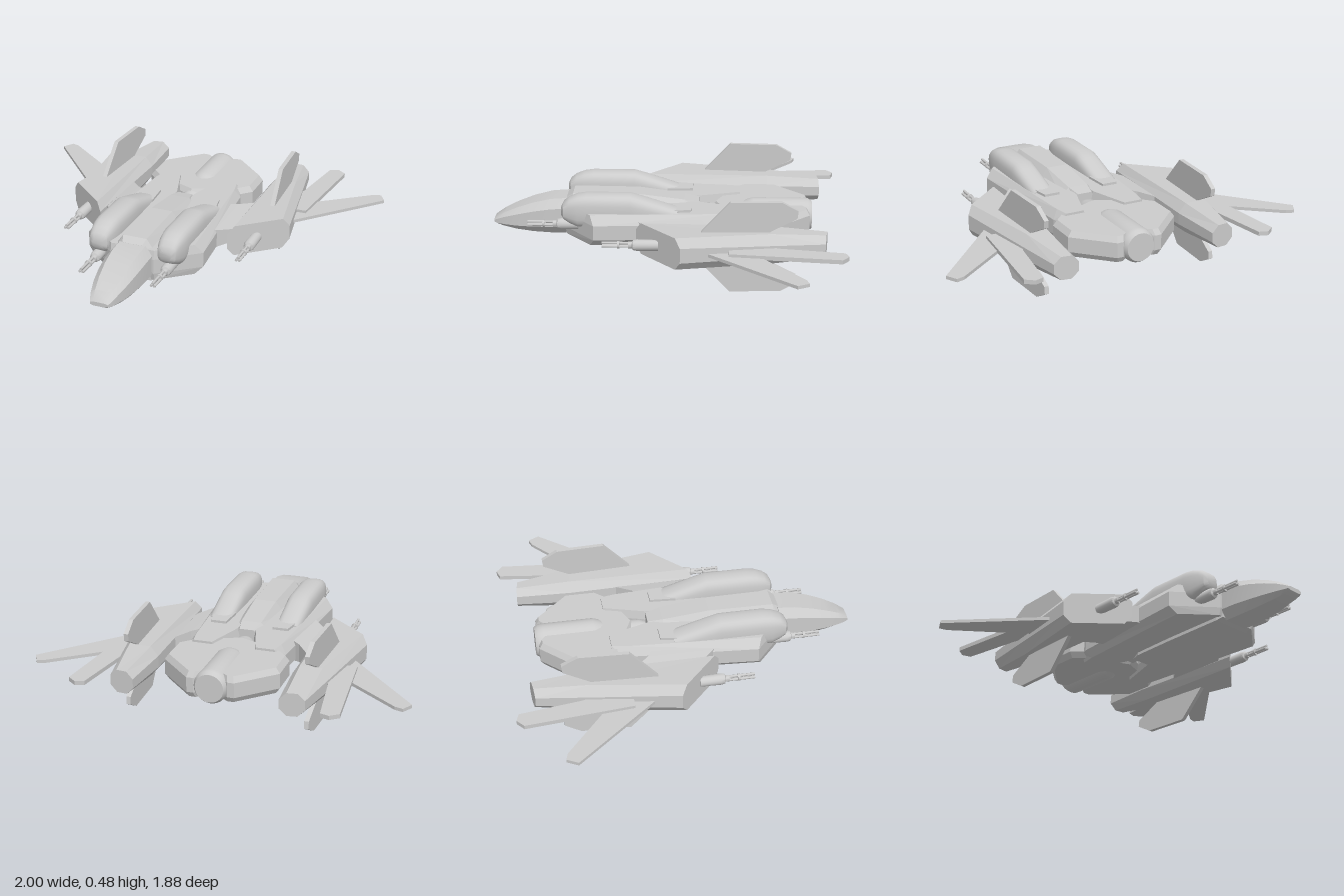
import * as THREE from 'three';
import { toCreasedNormals } from 'three/addons/utils/BufferGeometryUtils.js';

const material = new THREE.MeshStandardMaterial({ color: 0xcccccc });

// Skin a series of convex rings ([x, y, z] points) and close both ends; always faces outward.
function loft(rings, crease = 0) {
  const tris = [], n = rings[0].length;
  for (let i = 0; i < rings.length - 1; i++) {
    for (let j = 0; j < n; j++) {
      const k = (j + 1) % n, a = rings[i], b = rings[i + 1];
      tris.push([a[j], a[k], b[k]], [a[j], b[k], b[j]]);
    }
  }
  const first = rings[0], last = rings[rings.length - 1];
  for (let j = 1; j < n - 1; j++) {
    tris.push([first[0], first[j + 1], first[j]], [last[0], last[j], last[j + 1]]);
  }
  let volume = 0;
  for (const [a, b, c] of tris) {
    volume += a[0] * (b[1] * c[2] - b[2] * c[1]) + a[1] * (b[2] * c[0] - b[0] * c[2]) + a[2] * (b[0] * c[1] - b[1] * c[0]);
  }
  const pos = tris.flatMap(([a, b, c]) => (volume < 0 ? [...a, ...c, ...b] : [...a, ...b, ...c]));
  const geo = new THREE.BufferGeometry();
  geo.setAttribute('position', new THREE.Float32BufferAttribute(pos, 3));
  geo.computeVertexNormals();
  return crease ? toCreasedNormals(geo, crease) : geo;
}

const mirror = (rings, s) => rings.map(r => r.map(([x, y, z]) => [x * s, y, z]));

function add(parent, name, geo) {
  const mesh = new THREE.Mesh(geo, material);
  mesh.name = name;
  parent.add(mesh);
  return mesh;
}

// Plan outline ([x, z]) placed at height y
const plan = (outline, y) => outline.map(([x, z]) => [x, y, z]);

// Eight-sided section between xa and xb, bevelled by b and h; the ends may be raked
function octagon(xa, xb, y0, y1, b, h, za, zb = za) {
  const pts = [[xa, y0 + h], [xa, y1 - h], [xa + b, y1], [xb - b, y1],
    [xb, y1 - h], [xb, y0 + h], [xb - b, y0], [xa + b, y0]];
  return pts.map(([x, y]) => [x, y, za + (zb - za) * (x - xa) / (xb - xa)]);
}

// Rounded-rectangle section
function rounded(cx, w, y0, y1, z, count = 24) {
  return Array.from({ length: count }, (_, i) => {
    const a = (i / count) * Math.PI * 2, c = Math.cos(a), s = Math.sin(a);
    const p = v => Math.sign(v) * Math.abs(v) ** 0.65;
    return [cx + w * p(c), (y0 + y1) / 2 + (y1 - y0) / 2 * p(s), z];
  });
}

// Gun: housing turned around z, three barrels and a clamp ring
function gun(name, x, z) {
  const g = new THREE.Group();
  g.name = name;
  const profile = [[0, -0.13], [0.028, -0.13], [0.03, -0.02], [0.026, 0], [0.017, 0.005], [0.017, 0.025], [0, 0.025]]
    .map(p => new THREE.Vector2(...p));
  add(g, 'gunHousing', toCreasedNormals(new THREE.LatheGeometry(profile, 16).rotateX(Math.PI / 2), 0.6));
  for (let i = 0; i < 3; i++) {
    const a = Math.PI / 2 + i * Math.PI * 2 / 3;
    add(g, 'gunBarrel', new THREE.CylinderGeometry(0.007, 0.007, 0.16, 8).rotateX(Math.PI / 2))
      .position.set(Math.cos(a) * 0.01, Math.sin(a) * 0.01, 0.08);
  }
  add(g, 'barrelRing', new THREE.CylinderGeometry(0.019, 0.019, 0.012, 12).rotateX(Math.PI / 2)).position.z = 0.075;
  g.position.set(x, 0.25, z);
  return g;
}

export function createModel() {
  const model = new THREE.Group();
  model.name = 'spacecraft';

  // Nose: half width, bottom, top, z
  const nose = [[0.11, 0.15, 0.35, 0.53], [0.11, 0.15, 0.343, 0.62], [0.102, 0.154, 0.318, 0.72],
    [0.088, 0.163, 0.285, 0.81], [0.07, 0.175, 0.252, 0.88], [0.056, 0.185, 0.227, 0.92], [0.048, 0.193, 0.215, 0.935]]
    .map(([w, y0, y1, z]) => octagon(-w, w, y0, y1, w * 0.35, (y1 - y0) * 0.24, z));
  add(model, 'nose', loft(nose, 0.55));

  // Central spine: half width, flat half width, belly, shoulder, top, z
  const spine = [[0.1, 0.055, 0.16, 0.30, 0.35, 0.535], [0.112, 0.065, 0.148, 0.31, 0.375, 0.5],
    [0.11, 0.06, 0.148, 0.31, 0.375, 0.15], [0.1, 0.055, 0.15, 0.3, 0.345, -0.1], [0.06, 0.04, 0.165, 0.29, 0.33, -0.18]]
    .map(([w, f, y0, ys, y1, z]) => [[-w, y0, z], [-w, ys, z], [-f, y1, z], [f, y1, z], [w, ys, z], [w, y0, z]]);
  add(model, 'spine', loft(spine));

  // Rear engine with a slimmer rounded neck
  const engine = [[0, -0.785], [0.075, -0.785], [0.088, -0.765], [0.09, -0.74], [0.09, -0.47], [0.082, -0.44],
    [0.06, -0.4], [0.058, -0.22], [0.045, -0.185], [0, -0.17]].map(p => new THREE.Vector2(...p));
  add(model, 'rearEngine', toCreasedNormals(new THREE.LatheGeometry(engine, 28).rotateX(Math.PI / 2), 0.6))
    .position.y = 0.25;

  for (const s of [1, -1]) {
    const side = new THREE.Group();
    side.name = s > 0 ? 'leftSide' : 'rightSide';
    model.add(side);
    const part = (name, rings, crease) => add(side, name, loft(mirror(rings, s), crease));
    const slab = (name, outline, y0, y1) => part(name, [plan(outline, y0), plan(outline, y1)]);

    // Side hull with bevelled outer edges
    const wide = [[0.04, 0.54], [0.12, 0.54], [0.325, 0.37], [0.265, -0.34], [0.24, -0.4], [0.11, -0.4], [0.04, -0.18]];
    const narrow = [[0.04, 0.53], [0.12, 0.53], [0.285, 0.39], [0.235, -0.32], [0.22, -0.4], [0.12, -0.4], [0.05, -0.18]];
    part('sideHull', [plan(narrow, 0.165), plan(wide, 0.205), plan(wide, 0.285), plan(narrow, 0.332)]);
    slab('hullRidge', [[0.12, 0], [0.24, 0], [0.215, -0.14], [0.13, -0.14]], 0.32, 0.345);

    // Shoulder pod: half width, bottom, top, z
    const pod = [[0.03, 0.3, 0.35, 0.548], [0.05, 0.28, 0.375, 0.535], [0.06, 0.26, 0.398, 0.505], [0.069, 0.24, 0.415, 0.46],
      [0.073, 0.24, 0.422, 0.41], [0.073, 0.24, 0.422, 0.18], [0.071, 0.24, 0.405, 0.12], [0.067, 0.24, 0.343, -0.07]]
      .map(([w, y0, y1, z]) => rounded(0.19, w, y0, y1, z));
    part('shoulderPod', pod, 0.6);

    // Rear deck
    const deck = [[0, -0.7], [0.09, -0.77], [0.125, -0.77], [0.308, -0.59], [0.308, -0.42], [0.24, -0.35], [0, -0.25]];
    const deckInset = deck.map(([x, z]) => [x * 0.93, -0.52 + (z + 0.52) * 0.93]);
    part('rearDeck', [plan(deckInset, 0.18), plan(deck, 0.21), plan(deck, 0.29), plan(deckInset, 0.32)]);

    // Pylon joining hull and nacelle
    const pylon = (x, z0, z1, y0, y1) => [[x, y0, z0], [x, y1, z0], [x, y1, z1], [x, y0, z1]];
    part('pylon', [pylon(0.24, 0.16, -0.18, 0.19, 0.31), pylon(0.3, 0.13, -0.22, 0.2, 0.3), pylon(0.4, 0.02, -0.34, 0.22, 0.28)]);

    // Nacelle with raked front
    part('nacelle', [
      octagon(0.368, 0.635, 0.165, 0.335, 0.03, 0.045, 0.142, -0.095),
      octagon(0.36, 0.557, 0.17, 0.332, 0.04, 0.05, -0.55),
      octagon(0.38, 0.507, 0.19, 0.312, 0.036, 0.036, -0.848, -0.832)]);

    // Swept horizontal fins
    slab('outerFin', [[0.52, -0.15], [0.61, -0.235], [0.998, -0.67], [0.965, -0.728], [0.922, -0.715], [0.52, -0.4]], 0.238, 0.255);
    slab('innerFin', [[0.52, -0.34], [0.645, -0.34], [0.7, -0.905], [0.655, -0.94], [0.607, -0.925], [0.56, -0.6], [0.52, -0.5]], 0.248, 0.27);

    // Upright fins above and below the nacelle, slightly toed
    const profile = [[-0.165, 0.04], [-0.2, 0.085], [-0.345, 0.242], [-0.605, 0.242], [-0.69, 0.195], [-0.685, 0.155], [-0.55, 0.085], [-0.55, 0.04]];
    for (const v of [1, -1]) {
      const face = t => profile.map(([z, h]) => [0.5 + (z + 0.2) * 0.05 + t, 0.25 + v * h, z]);
      part(v > 0 ? 'upperFin' : 'lowerFin', [face(-0.012), face(0.012)]);
    }

    side.add(gun('nacelleGun', s * 0.49, 0.15), gun('hullGun', s * 0.197, 0.57));
  }
  return model;
}
